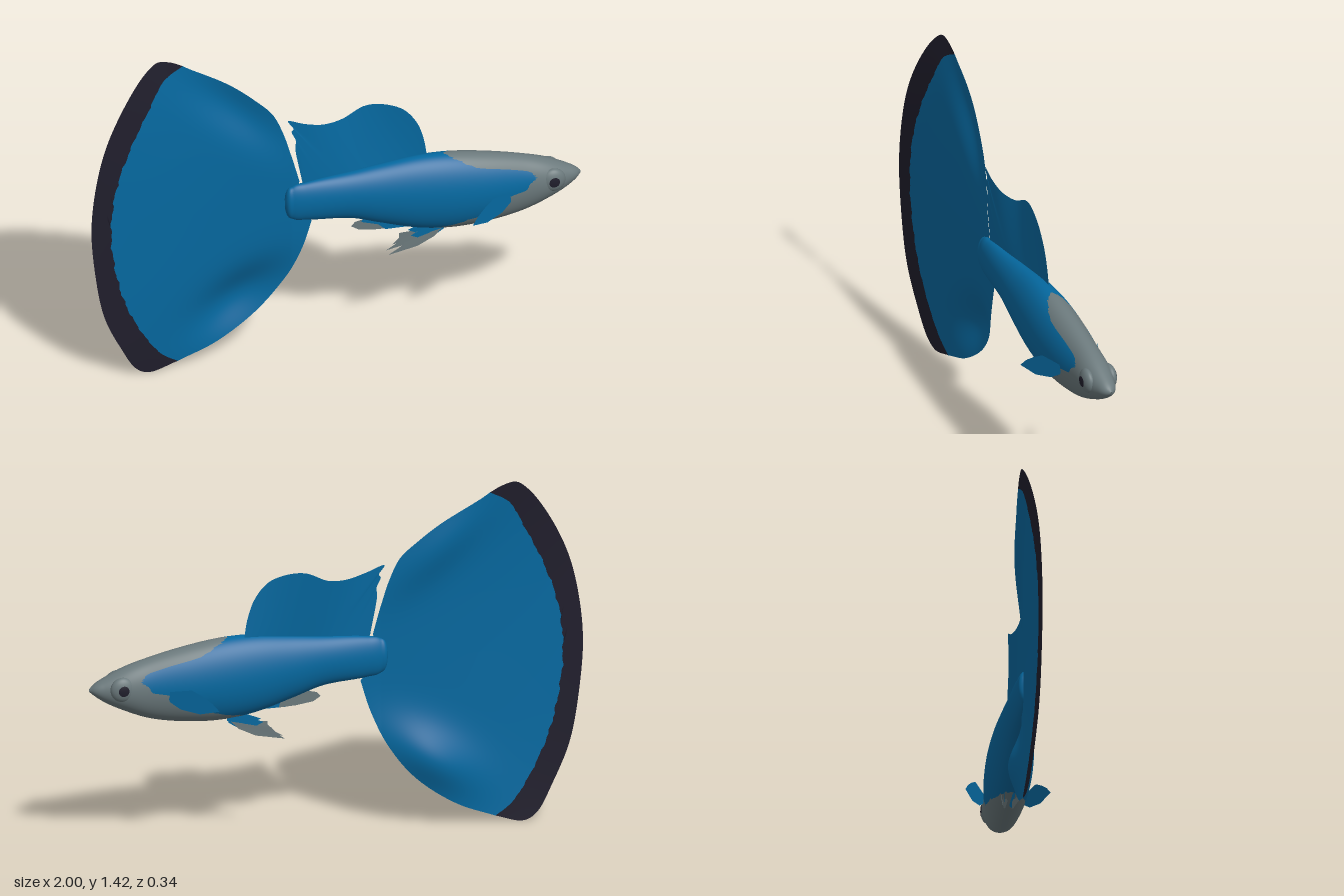
import * as THREE from 'three';
import { ParametricGeometry } from 'three/addons/geometries/ParametricGeometry.js';

const makeMaterial = (name, color) => {
  const m = new THREE.MeshStandardMaterial({ color, side: THREE.DoubleSide });
  m.name = name;
  return m;
};

// Smooth curve and fold helpers
const spline = (pts) => new THREE.CatmullRomCurve3(
  pts.map(([x, y]) => new THREE.Vector3(x, y, 0)), false, 'centripetal');
const lerp = THREE.MathUtils.lerp;
const ragged = (t) => Math.sin(t * 61) * 0.5 + Math.sin(t * 137 + 1) * 0.5;
function fold(x, y, cx, cy, angle, long, short) {
  const c = Math.cos(angle), s = Math.sin(angle);
  const a = ((x - cx) * c + (y - cy) * s) / long, b = ((y - cy) * c - (x - cx) * s) / short;
  return Math.exp(-a * a - b * b);
}

// Body stations: x, top, bottom, half width
const stations = [
  [-0.212, 0.735, 0.705, 0.004], [-0.205, 0.768, 0.672, 0.02], [-0.18, 0.792, 0.645, 0.028],
  [-0.13, 0.802, 0.634, 0.036], [0.06, 0.82, 0.612, 0.057], [0.17, 0.832, 0.575, 0.07],
  [0.33, 0.846, 0.525, 0.086], [0.46, 0.842, 0.506, 0.092], [0.6, 0.82, 0.509, 0.088],
  [0.757, 0.783, 0.535, 0.074], [0.86, 0.75, 0.575, 0.065], [0.94, 0.712, 0.616, 0.043],
  [0.98, 0.688, 0.645, 0.024], [0.997, 0.672, 0.66, 0.005],
];
const bodyProfile = new THREE.CubicInterpolant(
  stations.map((s) => s[0]), stations.flatMap((s) => s.slice(1)), 3);

// Where the blue coat ends, by height on the section (-1 belly, 1 back)
const coat = [
  [-1, 0.36], [-0.9, 0.4], [-0.8, 0.46], [-0.66, 0.52], [-0.58, 0.58], [-0.45, 0.65],
  [-0.1, 0.69], [0, 0.75], [0.38, 0.8], [0.63, 0.785], [0.7, 0.7], [0.74, 0.58],
  [0.81, 0.53], [0.91, 0.49], [1, 0.44],
];
const coatEdge = new THREE.LinearInterpolant(coat.map((c) => c[0]), coat.map((c) => c[1]), 1);

function bodySurface(fromHead) {
  return (u, v, target) => {
    const a = v * Math.PI * 2;
    const edge = coatEdge.evaluate(Math.cos(a))[0] + 0.011 * ragged(Math.cos(a) * 1.3);
    const x = fromHead ? lerp(edge, 0.997, u) : lerp(-0.212, edge, u * u * (1.6 - 0.6 * u));
    const [top, bottom, w] = bodyProfile.evaluate(x);
    target.set(x, (top + bottom) / 2 + Math.cos(a) * (top - bottom) / 2, -Math.sin(a) * w);
  };
}

// Tail outline, upper and lower edges, the rim and the inside of the dark border
const tailUpper = spline([[-0.15, 0.81], [-0.182, 0.93], [-0.215, 1.04], [-0.255, 1.125],
  [-0.32, 1.19], [-0.42, 1.27], [-0.58, 1.365], [-0.61, 1.385]]);
const tailLower = spline([[-0.635, 0.03], [-0.475, 0.095], [-0.31, 0.215], [-0.205, 0.35],
  [-0.14, 0.49], [-0.1, 0.62]]);
const tailBorder = spline([[-0.61, 1.385], [-0.69, 1.335], [-0.757, 1.217], [-0.837, 1.056],
  [-0.9, 0.868], [-0.917, 0.68], [-0.895, 0.49], [-0.85, 0.33], [-0.77, 0.17],
  [-0.7, 0.075], [-0.635, 0.03]]);
const tailRim = spline([[-0.61, 1.385], [-0.66, 1.41], [-0.715, 1.42], [-0.77, 1.38],
  [-0.85, 1.27], [-0.93, 1.11], [-0.975, 0.95], [-1, 0.735], [-0.985, 0.52], [-0.945, 0.305],
  [-0.875, 0.145], [-0.805, 0.027], [-0.75, 0], [-0.635, 0.03]]);

function tailDepth(x, y) {
  const t = THREE.MathUtils.clamp((-x - 0.18) / 0.85, 0, 1);
  const d = (y - 0.71) / 0.71;
  const sag = 0.028 + (d > 0 ? 0.022 : 0.008) * d * d;
  return -0.005 - sag * Math.sin(t * Math.PI) - 0.012 * d ** 4
    - 0.058 * fold(x, y, -0.37, 0.29, 0.6, 0.2, 0.11)
    - 0.028 * fold(x, y, -0.4, 1.16, -0.75, 0.24, 0.09);
}
function borderPoint(t) {
  const p = tailBorder.getPoint(t);
  p.x += 0.006 * ragged(t * 1.7) * Math.sin(t * Math.PI);
  return p;
}
function tailOutline(u) {
  if (u < 0.25) return tailUpper.getPoint(u * 4);
  if (u <= 0.75) return borderPoint((u - 0.25) * 2);
  return tailLower.getPoint(Math.min(1, (u - 0.75) * 4));
}
function tailWeb(u, v, target) {
  const p = tailOutline(u);
  const x = lerp(lerp(-0.16, -0.13, u), p.x, v), y = lerp(lerp(0.77, 0.66, u), p.y, v);
  target.set(x, y, tailDepth(x, y));
}
function tailBand(u, v, target) {
  const p = borderPoint(u).lerp(tailRim.getPoint(u), v);
  target.set(p.x, p.y, tailDepth(p.x, p.y));
}

// Dorsal fin: ruled from the back up to a wavy edge
const dorsalEdge = spline([[-0.14, 0.81], [-0.168, 0.97], [-0.165, 1.0], [-0.182, 1.045],
  [-0.174, 1.055], [-0.197, 1.095], [-0.125, 1.07], [-0.045, 1.05], [0.035, 1.055],
  [0.125, 1.095], [0.195, 1.095], [0.275, 1.065], [0.33, 1.0], [0.36, 0.92], [0.375, 0.835]]);
function dorsalWeb(u, v, target) {
  const p = dorsalEdge.getPoint(u);
  const x = lerp(lerp(-0.13, 0.36, u), p.x, v), y = lerp(lerp(0.78, 0.82, u), p.y, v);
  target.set(x, y, -0.02 * u - v * (0.011 + 0.013 * Math.sin(x * 13 + y * 3 - 3)));
}

// Small flat fin from an outline, bent sideways by a rule
function flatFin(points, depth) {
  const shape = new THREE.Shape(points.map(([x, y]) => new THREE.Vector2(x, y)));
  const geometry = new THREE.ShapeGeometry(shape);
  const pos = geometry.attributes.position;
  for (let i = 0; i < pos.count; i++) pos.setZ(i, depth(pos.getX(i), pos.getY(i)));
  geometry.computeVertexNormals();
  return geometry;
}

export function createModel() {
  const blue = makeMaterial('blue scales', 0x05689f);
  const grey = makeMaterial('grey skin', 0x6b797c);
  const dark = makeMaterial('dark border', 0x201e2c);
  const model = new THREE.Group();
  model.name = 'fish';
  const add = (name, geometry, material) => {
    const mesh = new THREE.Mesh(geometry, material);
    mesh.name = name;
    model.add(mesh);
  };

  // Body and head
  add('body', new ParametricGeometry(bodySurface(false), 60, 160), blue);
  add('head', new ParametricGeometry(bodySurface(true), 40, 160), grey);

  // Tail and dorsal fin
  add('tailFin', new ParametricGeometry(tailWeb, 200, 40), blue);
  add('tailBorder', new ParametricGeometry(tailBand, 100, 4), dark);
  add('dorsalFin', new ParametricGeometry(dorsalWeb, 80, 12), blue);

  // Anal fin
  add('analFin', flatFin([[0.06, 0.568], [0.075, 0.585], [0.14, 0.6], [0.22, 0.57],
    [0.23, 0.533], [0.16, 0.537], [0.09, 0.548]], () => 0), grey);
  add('analFinBase', flatFin([[0.1, 0.583], [0.12, 0.62], [0.3, 0.6], [0.34, 0.53],
    [0.2, 0.533], [0.17, 0.56]], () => 0.003), blue);

  for (const side of [1, -1]) {
    const label = side > 0 ? 'left' : 'right';

    // Pectoral fin
    add(label + 'PectoralFin', flatFin([[0.7, 0.66], [0.69, 0.62], [0.65, 0.592], [0.58, 0.578],
      [0.51, 0.595], [0.535, 0.625], [0.57, 0.652], [0.61, 0.675]],
    (x) => side * (0.08 + (0.69 - x) * 0.49)), blue);

    // Pelvic fin: a blue root with three trailing rays
    const spread = (x) => -0.012 + side * (0.012 + (0.44 - x) * 0.07);
    add(label + 'PelvicFinBase', flatFin([[0.44, 0.52], [0.44, 0.495], [0.39, 0.465],
      [0.34, 0.47], [0.3, 0.49], [0.36, 0.515]], spread), blue);
    for (let i = 0; i < 3; i++) {
      const tipX = 0.21 + i * 0.03, tipY = 0.412 + i * 0.016;
      add(label + 'PelvicRay' + (i + 1), flatFin([[0.43, 0.5], [0.4, 0.468 + i * 0.006],
        [0.33, 0.434 + i * 0.014], [tipX, tipY], [0.27, 0.448 + i * 0.012], [0.34, 0.48]],
      (x) => spread(x) + side * (0.003 + (0.43 - x) * 0.06 * (i - 1))), grey);
    }

    // Eye: flattened dome with a pupil cap
    const eye = new THREE.Group();
    eye.name = label + 'Eye';
    const ball = new THREE.Mesh(new THREE.SphereGeometry(0.05, 32, 20), grey);
    ball.name = 'eyeball';
    const pupil = new THREE.Mesh(
      new THREE.SphereGeometry(0.053, 24, 6, 0, Math.PI * 2, 0, 0.42).rotateX(Math.PI / 2), dark);
    pupil.name = 'pupil';
    eye.add(ball, pupil);
    eye.position.set(0.873, 0.675, side * 0.048);
    eye.scale.set(1, 1, side * 0.5);
    model.add(eye);
  }
  return model;
}
